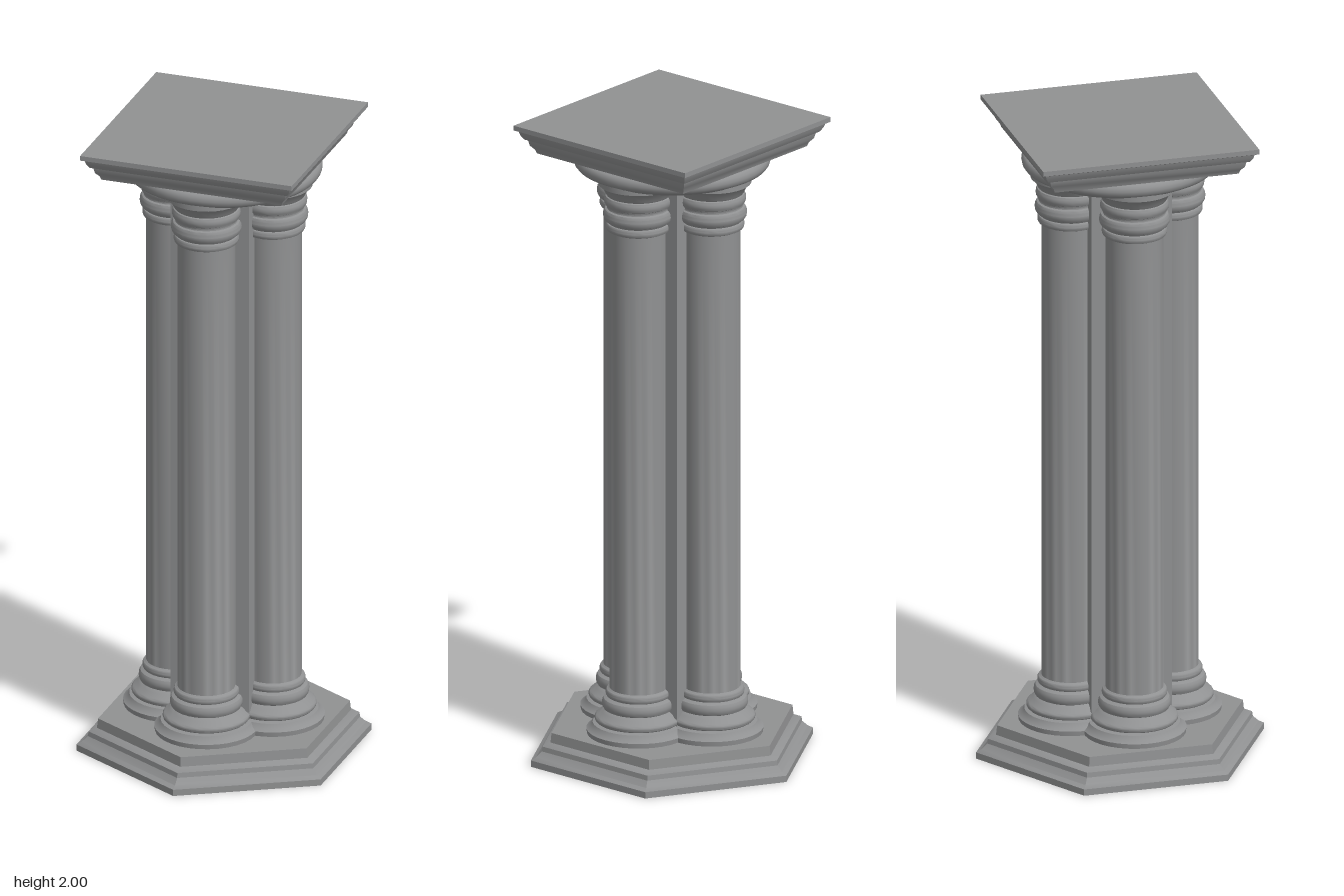
import * as THREE from 'three';
import { toCreasedNormals } from 'three/addons/utils/BufferGeometryUtils.js';

const stone = new THREE.MeshStandardMaterial({ color: 0x909192, side: THREE.DoubleSide });
stone.name = 'grey stone';

// Half-round moulding as profile points, from y0 up to y1, bulging outward from radius r
function bead(r, y0, y1, bulge) {
  const pts = [];
  for (let i = 0; i <= 6; i++) {
    const t = (i / 6) * Math.PI;
    pts.push([r + bulge * Math.sin(t), (y0 + y1) / 2 - ((y1 - y0) / 2) * Math.cos(t)]);
  }
  return pts;
}

// Revolved profile; few sides give a prism, with radii read as distance to the flat
function turned(name, profile, sides, startAngle = 0) {
  const k = sides < 8 ? 1 / Math.cos(Math.PI / sides) : 1;
  const pts = profile.map(([r, y]) => new THREE.Vector2(r * k, y));
  const geo = toCreasedNormals(new THREE.LatheGeometry(pts, sides, startAngle), 0.6);
  const mesh = new THREE.Mesh(geo, stone);
  mesh.name = name;
  return mesh;
}

export function createModel() {
  const model = new THREE.Group();
  model.name = 'clusteredColumn';
  const offset = 0.156;

  // Stepped hexagonal plinth, open underneath
  model.add(turned('plinthSteps', [
    [0.39, 0], [0.39, 0.02], [0.376, 0.028], [0.36, 0.045],
    [0.358, 0.06], [0.336, 0.07], [0.333, 0.1],
  ], 6));

  // Plinth top, cut out beneath the four column feet
  const top = new THREE.Shape();
  for (let i = 0; i < 6; i++) {
    const a = (i * Math.PI) / 3, r = 0.333 / Math.cos(Math.PI / 6);
    if (i) top.lineTo(r * Math.sin(a), r * Math.cos(a));
    else top.moveTo(0, r);
  }
  const hole = new THREE.Path(), footR = 0.152;
  const t = (offset + Math.sqrt(2 * footR * footR - offset * offset)) / 2;
  const half = Math.atan2(t, t - offset);
  for (let i = 0; i < 4; i++) {
    const a = (i * Math.PI) / 2;
    hole.absarc(offset * Math.cos(a), offset * Math.sin(a), footR, a - half, a + half, false);
  }
  top.holes.push(hole);
  const plinthTop = new THREE.Mesh(new THREE.ShapeGeometry(top, 16).rotateX(-Math.PI / 2), stone);
  plinthTop.name = 'plinthTop';
  plinthTop.position.y = 0.1;
  model.add(plinthTop);

  // Four round columns with moulded feet and capitals
  const columnProfile = [
    [0.155, 0.1], [0.157, 0.115], [0.145, 0.122], [0.138, 0.135],
    ...bead(0.122, 0.138, 0.16, 0.01), [0.112, 0.172],
    ...bead(0.1, 0.178, 0.215, 0.01),
    ...bead(0.092, 0.218, 0.242, 0.007), [0.087, 0.245],
    [0.087, 1.698], ...bead(0.092, 1.7, 1.725, 0.007),
    ...bead(0.095, 1.73, 1.77, 0.012), [0.094, 1.775],
    ...bead(0.096, 1.78, 1.812, 0.008), [0.1, 1.818],
    [0.108, 1.835], [0.12, 1.845], [0.12, 1.865],
  ];
  for (let i = 0; i < 4; i++) {
    const a = (i * Math.PI) / 2;
    const column = turned('column', columnProfile, 32);
    column.position.set(offset * Math.sin(a), 0, offset * Math.cos(a));
    model.add(column);
  }

  // Square core showing between the columns
  model.add(turned('core', [[0.126, 0.1], [0.126, 1.865]], 4, Math.PI / 4));

  // Round cushion above the capitals
  model.add(turned('cushion', [
    [0, 1.855], [0.262, 1.855], [0.275, 1.862],
    ...bead(0.28, 1.865, 1.908, 0.017), [0.27, 1.915],
  ], 48));

  // Square moulded slab
  model.add(turned('topSlab', [
    [0, 1.91], [0.288, 1.91], [0.292, 1.922], [0.303, 1.935], [0.307, 1.952],
    [0.315, 1.955], [0.323, 1.968], [0.327, 1.98], [0.338, 1.985], [0.338, 2], [0, 2],
  ], 4, Math.PI / 4));

  return model;
}
